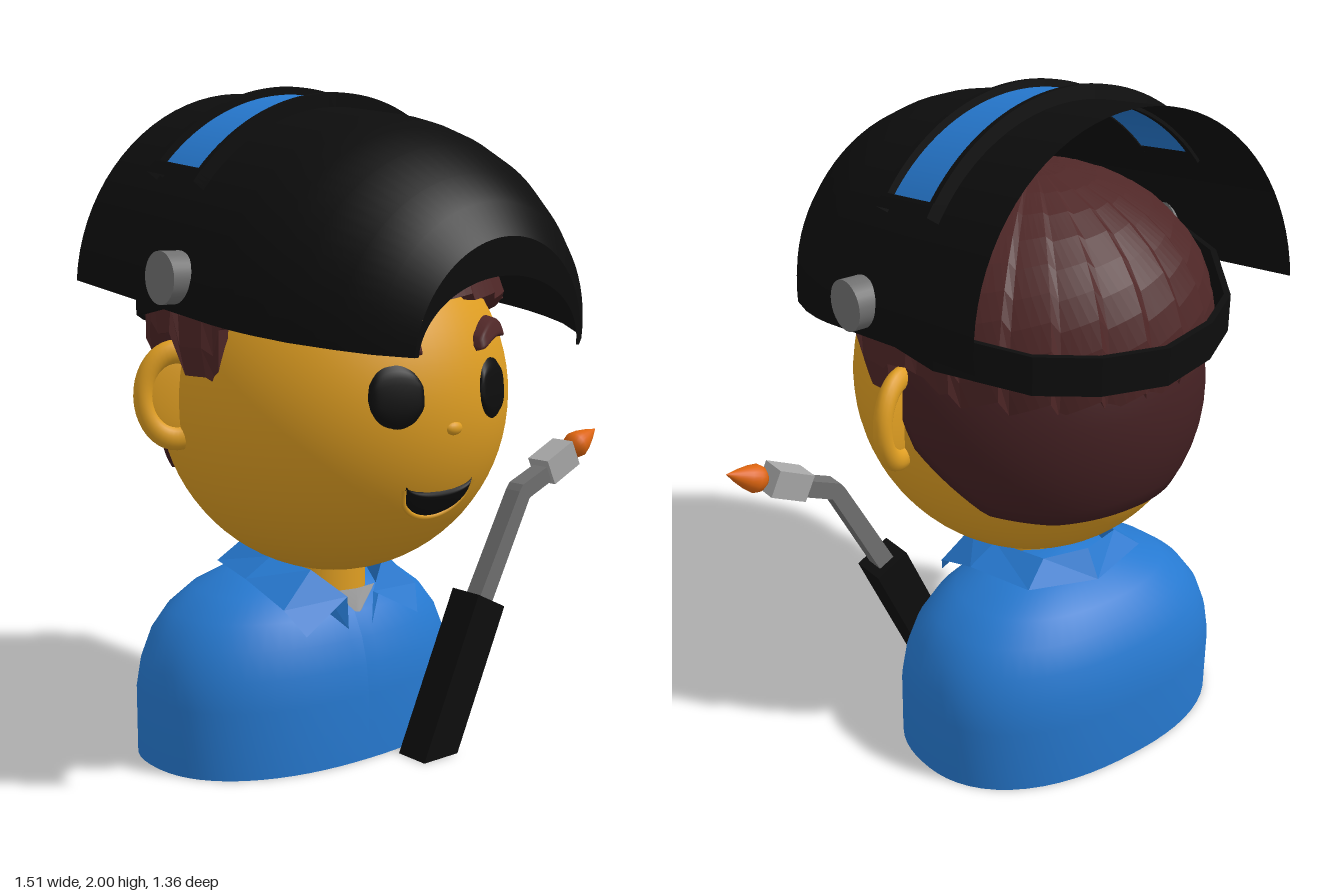
import * as THREE from 'three';

const mat = (name, color, side = THREE.FrontSide) => {
  const m = new THREE.MeshStandardMaterial({ color, side });
  m.name = name;
  return m;
};
const D = THREE.DoubleSide;
const M = {
  skin: mat('skin', 0xdf9e22),
  blue: mat('blue', 0x2679d0, D),
  black: mat('black', 0x0d0d0d, D),
  hair: mat('hair', 0x4f2727, D),
  darkHair: mat('dark hair', 0x432022, D),
  grey: mat('grey metal', 0x707070),
  silver: mat('light grey', 0xa8a8a8, D),
  flame: mat('flame orange', 0xdd640f),
};
const HEAD = { c: [0, 1.1, -0.07], r: [0.51, 0.535, 0.54] };
const rad = THREE.MathUtils.degToRad;

function add(parent, name, geo, material, x = 0, y = 0, z = 0) {
  const m = new THREE.Mesh(geo, material);
  m.name = name;
  m.position.set(x, y, z);
  parent.add(m);
  return m;
}

// Surface through rows of equally many [x, y, z] points
function loft(rows, flat = false) {
  const n = rows[0].length, idx = [];
  for (let i = 0; i < rows.length - 1; i++)
    for (let j = 0; j < n - 1; j++) {
      const a = i * n + j, b = a + n;
      idx.push(a, a + 1, b, b, a + 1, b + 1);
    }
  let g = new THREE.BufferGeometry();
  g.setAttribute('position', new THREE.Float32BufferAttribute(rows.flat(2), 3));
  g.setIndex(idx);
  if (flat) g = g.toNonIndexed();
  g.computeVertexNormals();
  return g;
}

// Piecewise linear lookup in [[x, y], ...]
function lookup(table, x) {
  for (let i = 1; i < table.length; i++) {
    const [x0, y0] = table[i - 1], [x1, y1] = table[i];
    if (x <= x1) return y0 + (y1 - y0) * Math.max(0, (x - x0) / (x1 - x0));
  }
  return table[table.length - 1][1];
}

// Domed patch that follows the front of the head
function facePatch(x0, x1, low, high, off) {
  const g = new THREE.PlaneGeometry(1, 1, 24, 10), p = g.attributes.position;
  for (let i = 0; i < p.count; i++) {
    const u = p.getX(i) + 0.5, v = p.getY(i) + 0.5;
    const x = x0 + (x1 - x0) * u, y = low(u) + (high(u) - low(u)) * v;
    const k = Math.sqrt(Math.max(0, 1 - (x / HEAD.r[0]) ** 2 - ((y - HEAD.c[1]) / HEAD.r[1]) ** 2));
    const edge = (1 - Math.abs(2 * v - 1) ** 8) * (1 - Math.abs(2 * u - 1) ** 12);
    p.setXYZ(i, x, y, HEAD.c[2] + HEAD.r[2] * k - 0.002 + off * edge);
  }
  g.computeVertexNormals();
  return g;
}

// Ellipsoid shell between two heights that depend on the azimuth (degrees, 180 = back)
function shell(c, r, a0, a1, low, high, ridge, flat) {
  const rows = [], steps = 10;
  for (let k = -1; k <= steps; k++) {
    const row = [];
    for (let a = a0; a <= a1; a += 3) {
      const lo = Math.asin((low(a) - c[1]) / r[1]);
      const hi = Math.asin(Math.min(1, (high(a) - c[1]) / r[1]));
      const t = lo + (hi - lo) * Math.max(k, 0) / steps;
      const s = Math.cos(t) * (k < 0 ? 0.91 : 1 + ridge(a));
      row.push([c[0] + r[0] * s * Math.sin(rad(a)), c[1] + r[1] * Math.sin(t), c[2] + r[2] * s * Math.cos(rad(a))]);
    }
    rows.push(row);
  }
  return loft(rows, flat);
}

function buildBody(fig) {
  const profile = [[0, 0], [1, 0], [1, 0], [1, 0.2], [0.97, 0.29], [0.91, 0.37], [0.81, 0.44], [0.66, 0.5], [0.44, 0.55], [0.2, 0.575], [0, 0.58]];
  const g = new THREE.LatheGeometry(profile.map(p => new THREE.Vector2(...p)), 64), p = g.attributes.position;
  for (let i = 0; i < p.count; i++) {
    const a = Math.atan2(p.getZ(i), p.getX(i));
    const k = (Math.abs(Math.cos(a)) ** 2.3 + Math.abs(Math.sin(a)) ** 2.3) ** (-1 / 2.3);
    p.setXYZ(i, p.getX(i) * k * 0.53, p.getY(i), p.getZ(i) * k * 0.355);
  }
  g.computeVertexNormals();
  add(fig, 'shirtBody', g, M.blue, 0, 0, -0.255);
  add(fig, 'neck', new THREE.CylinderGeometry(0.13, 0.13, 0.2, 32), M.skin, 0, 0.56, -0.12);
  add(fig, 'undershirt', loft([[[-0.08, 0.515, 0.03], [0, 0.515, 0.045], [0.08, 0.515, 0.03]],
    [[-0.01, 0.445, 0.05], [0, 0.445, 0.055], [0.01, 0.445, 0.05]]]), M.silver);

  // Folded collar, one half mirrored to the other
  const top = [[0.05, 0.5, 0.06], [0.14, 0.585, 0], [0.175, 0.605, -0.15], [0.14, 0.625, -0.34], [0, 0.63, -0.38]];
  const low = [[0.215, 0.41, 0.075], [0.255, 0.485, 0.02], [0.27, 0.55, -0.15], [0.22, 0.56, -0.37], [0, 0.545, -0.43]];
  for (const s of [1, -1]) {
    const flip = row => row.map(([x, y, z]) => [s * x, y, z]);
    const inner = top.map(([x, y, z]) => [x * 0.9, y - 0.1, z]);
    add(fig, 'collar', loft([low, top, inner].map(flip), true), M.blue);
  }
}

function buildHead(fig) {
  add(fig, 'head', new THREE.SphereGeometry(1, 64, 40), M.skin, ...HEAD.c).scale.set(...HEAD.r);
  const nose = add(fig, 'nose', new THREE.SphereGeometry(1, 20, 12), M.skin, 0, 1.045, 0.46);
  nose.scale.set(0.03, 0.02, 0.018);

  const arc = u => Math.sqrt(Math.max(0, 1 - (2 * u - 1) ** 2));
  for (const s of [-1, 1]) {
    const cx = 0.178 * s;
    add(fig, 'eye', facePatch(cx - 0.075, cx + 0.075, u => 1.14 - 0.088 * arc(u), u => 1.14 + 0.088 * arc(u), 0.012), M.black);
    // Brows are thick and droop outwards
    const mid = u => 1.275 + 0.045 * Math.sin(Math.PI * (0.2 + 0.8 * (s < 0 ? u : 1 - u))) - 0.012;
    const half = u => 0.031 * Math.sqrt(arc(u));
    const bx = 0.2 * s;
    add(fig, 'eyebrow', facePatch(bx - 0.1, bx + 0.1, u => mid(u) - half(u), u => mid(u) + half(u), 0.035), M.hair);

    // Ear: rim and shallow inner dish
    const ear = new THREE.Group();
    ear.name = 'ear';
    ear.position.set(0.505 * s, 1.12, -0.14);
    ear.rotation.y = 0.42 * s;
    add(ear, 'earRim', new THREE.TorusGeometry(0.094, 0.027, 14, 40), M.skin).scale.y = 1.3;
    add(ear, 'earDish', new THREE.SphereGeometry(1, 24, 16), M.skin).scale.set(0.095, 0.125, 0.016);
    fig.add(ear);
  }
  // Open smile with lower lip
  const smileLow = u => 0.885 - 0.098 * arc(u), smileTop = u => 0.89 - 0.026 * arc(u);
  add(fig, 'mouth', facePatch(-0.125, 0.125, smileLow, smileTop, 0.014), M.black);
  const lip = [];
  for (let i = 0; i <= 20; i++) {
    const u = i / 20, x = -0.13 + 0.26 * u, y = smileLow(u) - 0.003;
    lip.push(new THREE.Vector3(x, y, HEAD.c[2] + HEAD.r[2] * Math.sqrt(1 - (x / 0.51) ** 2 - ((y - 1.1) / 0.535) ** 2)));
  }
  add(fig, 'lowerLip', new THREE.TubeGeometry(new THREE.CatmullRomCurve3(lip), 40, 0.008, 8), M.skin);
}

function buildHair(fig) {
  // Close-cropped hair at the nape
  const nape = [[0, 1.2], [9, 1.05], [32, 0.87], [55, 0.84], [85, 0.85]];
  add(fig, 'napeHair', shell(HEAD.c, HEAD.r.map(v => v * 1.02), 95, 265,
    a => lookup(nape, 85 - Math.abs(a - 180)), () => 1.38, () => 0, false), M.darkHair);
  // Upper hair in overlapping strands, symmetric about the back
  const saw = a => (((a % 15) + 15) % 15) / 15;
  const hairline = [[0, 1.4], [42, 1.39], [60, 1.36], [72, 1.32], [75, 1.17], [90, 1.19], [93, 1.29], [108, 1.3], [114, 1.24], [180, 1.22]];
  add(fig, 'upperHair', shell([0, 1.3, -0.09], [0.535, 0.45, 0.53], 0, 360,
    a => lookup(hairline, a > 180 ? 360 - a : a) + 0.06 * (saw(a) - 0.4) * (Math.abs(a - 180) < 75 ? 1 : 0.4),
    () => 1.75, a => 0.035 * (saw(a) - 0.5), true), M.hair);
}

function buildHelmet(fig) {
  const helmet = new THREE.Group();
  helmet.name = 'weldingHelmet';
  helmet.position.y = 1.354;
  helmet.rotation.x = 0.131;
  fig.add(helmet);
  // Half turn about the front-to-back axis; points are [radius, forward], angle from the right horizon
  const half = (pts, from = 0, to = 180, seg = 40) => new THREE.LatheGeometry(
    pts.map(p => new THREE.Vector2(...p)), seg, Math.PI / 2 + rad(from), rad(to - from)).rotateX(Math.PI / 2);
  const box = (r0, r1, u0, u1) => [[r0, u0], [r1, u0], [r1, u0], [r1, u1], [r1, u1], [r0, u1], [r0, u1], [r0, u0]];

  add(helmet, 'helmetShell', half([[0.57, -0.575], [0.57, -0.2], [0.57, 0.13], [0.563, 0.2], [0.547, 0.28], [0.51, 0.39], [0.445, 0.5], [0.385, 0.58], [0.303, 0.646]]), M.black);
  const front = new THREE.Shape();
  front.absarc(0, 0, 0.303, 0, Math.PI, false);
  front.absellipse(0, 0, 0.29, 0.2, Math.PI, 0, true);
  add(helmet, 'helmetChin', new THREE.ShapeGeometry(front, 32), M.black, 0, 0, 0.646);

  // Curved window and its raised frame
  add(helmet, 'window', half([[0.588, -0.305], [0.588, -0.108]], 39, 141), M.blue);
  add(helmet, 'windowInside', half([[0.564, -0.305], [0.564, -0.108]], 39, 141), M.blue);
  for (const u of [-0.325, -0.108]) add(helmet, 'windowFrame', half(box(0.56, 0.61, u, u + 0.02), 36, 144), M.black);
  for (const a of [35, 141]) add(helmet, 'windowFrameEnd', half(box(0.56, 0.612, -0.325, -0.088), a, a + 4, 3), M.black);

  for (const s of [-1, 1]) {
    const knob = add(fig, 'hingeKnob', new THREE.CylinderGeometry(0.073, 0.073, 0.065, 32), M.grey, 0.58 * s, 1.455, -0.045);
    knob.rotation.z = Math.PI / 2;
  }
  // Head strap around the back
  const side = [[0.56, -0.05], [0.52, -0.32], [0.36, -0.54], [0.2, -0.63], [0, -0.675]];
  const path = [...side, ...side.slice(0, -1).reverse().map(([x, z]) => [-x, z])];
  const strapRow = (k, dy) => path.map(([x, z]) => [x * k, 1.443 + 0.16 * z + dy, z * k]);
  add(fig, 'headStrap', loft([strapRow(0.97, 0.055), strapRow(1, 0.055), strapRow(1, -0.055), strapRow(0.97, -0.055), strapRow(0.97, 0.055)], true), M.black);
}

function buildTorch(root) {
  const torch = new THREE.Group();
  torch.name = 'torch';
  torch.position.z = 0.185;
  root.add(torch);
  const bar = (name, pts, depth, material) => add(torch, name, new THREE.ExtrudeGeometry(
    new THREE.Shape(pts.map(p => new THREE.Vector2(...p))), { depth, bevelEnabled: false }), material, 0, 0, -depth / 2);
  bar('torchHandle', [[-0.045, 0], [0.09, 0], [0.285, 0.425], [0.175, 0.48]], 0.115, M.black);
  bar('torchTube', [[0.2, 0.45], [0.255, 0.43], [0.42, 0.745], [0.515, 0.785], [0.5, 0.835], [0.39, 0.79], [0.375, 0.77]], 0.06, M.grey);
  const nozzle = add(torch, 'torchNozzle', new THREE.BoxGeometry(0.125, 0.085, 0.085), M.silver, 0.56, 0.842, 0);
  nozzle.rotation.z = rad(25);
  const drop = [[0, 0], [0.022, 0.006], [0.038, 0.022], [0.043, 0.042], [0.036, 0.068], [0.02, 0.105], [0, 0.142]];
  const flame = add(torch, 'flame', new THREE.LatheGeometry(drop.map(p => new THREE.Vector2(...p)), 24), M.flame, 0.625, 0.868, 0);
  flame.rotation.z = rad(25 - 90);
}

export function createModel() {
  const root = new THREE.Group();
  root.name = 'welder';
  const figure = new THREE.Group();
  figure.name = 'figure';
  figure.position.x = -0.14;
  root.add(figure);
  buildBody(figure);
  buildHead(figure);
  buildHair(figure);
  buildHelmet(figure);
  buildTorch(root);
  return root;
}
